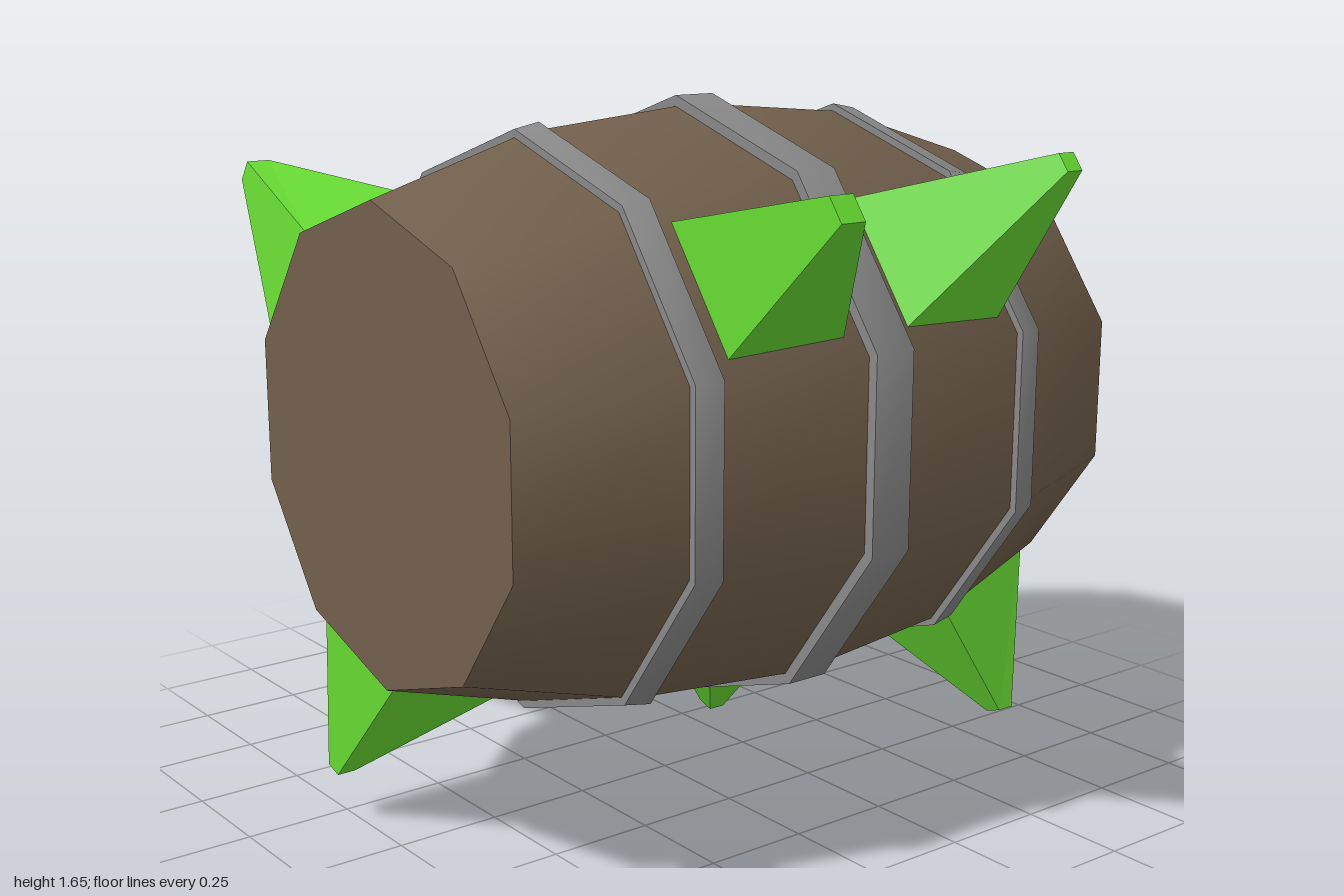
import * as THREE from 'three';
import { toCreasedNormals } from 'three/addons/utils/BufferGeometryUtils.js';

const SIDES = 10;
const CY = 0.95, CZ = 0.107; // barrel axis runs along x through this point

const wood = new THREE.MeshStandardMaterial({ color: 0x705f4b });
const metal = new THREE.MeshStandardMaterial({ color: 0x888888 });
const green = new THREE.MeshStandardMaterial({ color: 0x66d932, flatShading: true });

// Outer corner radius of the barrel at x
function radiusAt(x) {
  const a = Math.abs(x);
  return a < 0.45 ? 0.68 - (0.04 * a) / 0.45 : 0.64 - (0.115 * (a - 0.45)) / 0.385;
}

// Ten-sided solid turned about the x axis from [radius, x] points
function turned(name, profile, material) {
  const points = profile.map(([r, x]) => new THREE.Vector2(r, x));
  const geo = new THREE.LatheGeometry(points, SIDES, Math.PI / 2);
  geo.rotateZ(-Math.PI / 2);
  const mesh = new THREE.Mesh(toCreasedNormals(geo, 0.8), material);
  mesh.name = name;
  mesh.position.set(0, CY, CZ);
  return mesh;
}

// Four-sided spike on the facet facing `angle`, leaning to a small blunt tip
function spike(name, angle, x0, x1, tip, tipHalf = 0.022) {
  const a = THREE.MathUtils.degToRad(angle);
  const normal = new THREE.Vector3(0, Math.sin(a), Math.cos(a));
  const along = new THREE.Vector3(0, Math.cos(a), -Math.sin(a));
  const corners = [[-1, -1], [1, -1], [1, 1], [-1, 1]];
  const verts = [];
  for (const [u, v] of corners) {
    const x = u < 0 ? x0 : x1;
    const height = radiusAt(x) * Math.cos(Math.PI / SIDES) - 0.005;
    verts.push(new THREE.Vector3(x, CY, CZ).addScaledVector(normal, height).addScaledVector(along, v * 0.157));
  }
  for (const [u, v] of corners) {
    const p = new THREE.Vector3(...tip).addScaledVector(along, v * tipHalf);
    p.x += u * tipHalf;
    verts.push(p);
  }
  const index = [0, 2, 1, 0, 3, 2, 4, 5, 6, 4, 6, 7];
  for (let i = 0; i < 4; i++) {
    const j = (i + 1) % 4;
    index.push(i, j, j + 4, i, j + 4, i + 4);
  }
  let geo = new THREE.BufferGeometry().setFromPoints(verts);
  geo.setIndex(index);
  geo = geo.toNonIndexed();
  geo.computeVertexNormals();
  const mesh = new THREE.Mesh(geo, green);
  mesh.name = name;
  return mesh;
}

export function createModel() {
  const model = new THREE.Group();
  model.name = 'spikedBarrel';

  // Hollow barrel: closed at -x, open at +x
  model.add(turned('barrelBody', [
    [0, -0.833], [0.525, -0.833], [0.64, -0.45], [0.68, 0], [0.64, 0.45], [0.525, 0.833],
    [0.492, 0.833], [0.605, 0.45], [0.645, 0], [0.605, -0.45], [0.495, -0.8], [0, -0.8],
  ], wood));

  // Metal hoops
  model.add(turned('middleHoop', [
    [0.64, -0.052], [0.70, -0.052], [0.70, 0.052], [0.64, 0.052],
  ], metal));
  const hoop = [[0.615, 0.42], [0.66, 0.42], [0.648, 0.483], [0.61, 0.483]];
  model.add(turned('leftHoop', hoop, metal));
  model.add(turned('rightHoop', hoop.map(([r, x]) => [r, -x]).reverse(), metal));

  // Spikes: name, facet angle, x range of the base, tip position
  const spikes = [
    ['frontRightSpike', 36, -0.38, -0.09, [-0.33, 1.505, 0.975], 0.03],
    ['frontLeftSpike', 36, 0.085, 0.38, [0.33, 1.545, 0.925]],
    ['backUpperRightSpike', 144, -0.815, -0.5, [-0.675, 1.455, -0.72], 0.028],
    ['backUpperLeftSpike', 144, 0.08, 0.385, [0.16, 1.30, -0.78]],
    ['backEndSpike', 180, 0.5, 0.8, [0.757, 0.945, -0.998]],
    ['backLowerSpike', 216, -0.4, -0.1, [-0.383, 0.367, -0.86]],
    ['bottomRightSpike', 252, -0.81, -0.5, [-0.78, 0.13, -0.21]],
    ['bottomLeftSpike', 252, 0.09, 0.375, [0.35, 0.01, -0.25]],
    ['frontLowerSpike', 288, 0.5, 0.8, [0.705, 0.125, 0.45]],
  ];
  for (const s of spikes) model.add(spike(...s));

  return model;
}
